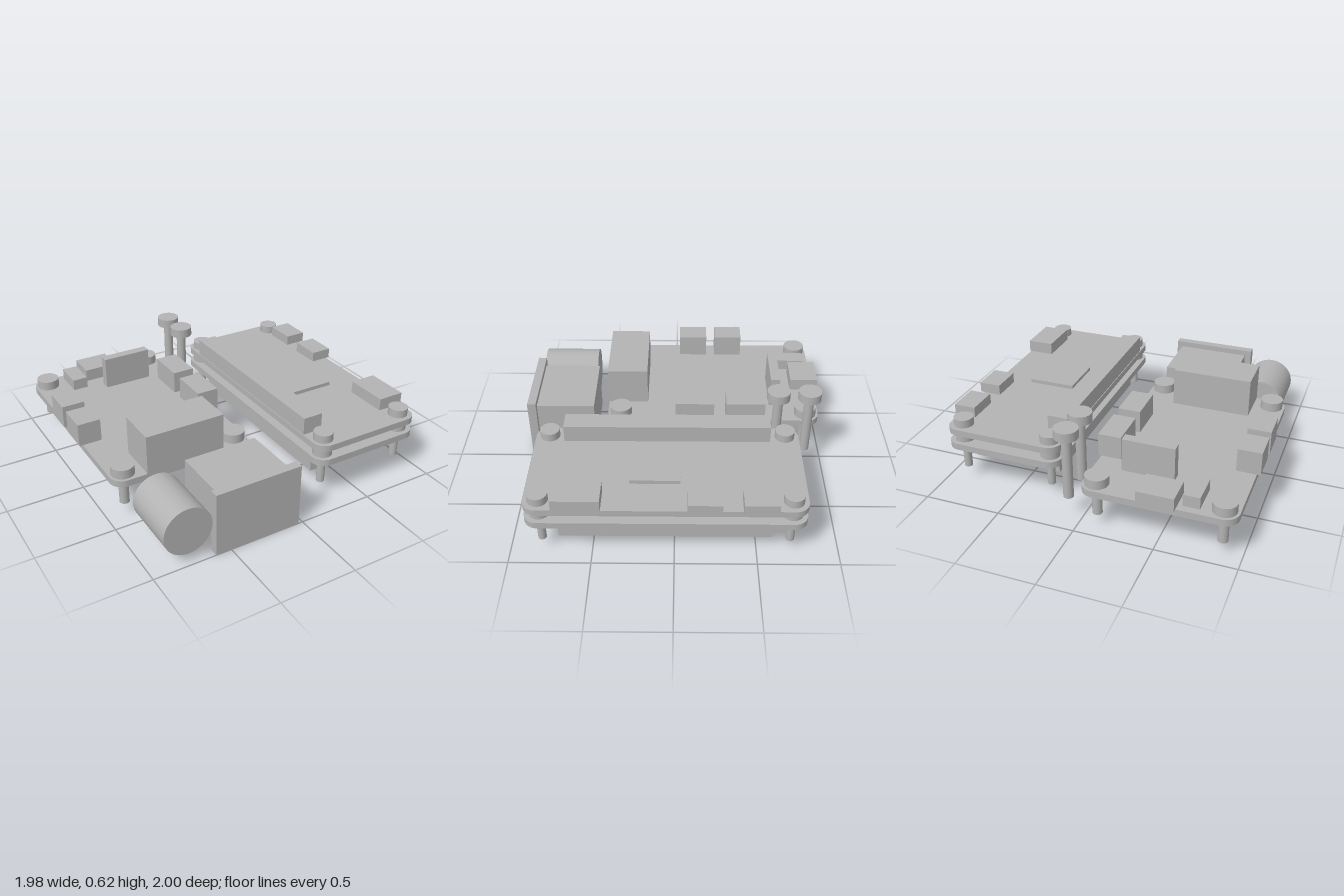
import * as THREE from 'three';

export function createModel() {
  const model = new THREE.Group();
  const grey = new THREE.MeshStandardMaterial({ color: 0xb3b3b3 });
  grey.name = 'plain grey';

  function add(parent, name, geometry) {
    const mesh = new THREE.Mesh(geometry, grey);
    mesh.name = name;
    parent.add(mesh);
    return mesh;
  }

  // Box given by its limits on each axis
  function block(parent, name, [x0, x1], [y0, y1], [z0, z1]) {
    const mesh = add(parent, name, new THREE.BoxGeometry(x1 - x0, y1 - y0, z1 - z0));
    mesh.position.set((x0 + x1) / 2, (y0 + y1) / 2, (z0 + z1) / 2);
  }

  // Upright cylinder from y0 to y1
  function post(parent, name, r, x, z, y0, y1) {
    const mesh = add(parent, name, new THREE.CylinderGeometry(r, r, y1 - y0, 40));
    mesh.position.set(x, (y0 + y1) / 2, z);
  }

  // Flat board with rounded corners
  function board(parent, name, [x0, x1], [y0, y1], [z0, z1], r) {
    const s = new THREE.Shape();
    s.absarc(x1 - r, -z0 - r, r, 0, Math.PI / 2);
    s.absarc(x0 + r, -z0 - r, r, Math.PI / 2, Math.PI);
    s.absarc(x0 + r, -z1 + r, r, Math.PI, Math.PI * 1.5);
    s.absarc(x1 - r, -z1 + r, r, Math.PI * 1.5, Math.PI * 2);
    s.closePath();
    const g = new THREE.ExtrudeGeometry(s, { depth: y1 - y0, bevelEnabled: false, curveSegments: 10 });
    g.rotateX(-Math.PI / 2);
    add(parent, name, g).position.y = y0;
  }

  function group(name) {
    const g = new THREE.Group();
    g.name = name;
    model.add(g);
    return g;
  }

  // Double board stack
  const stack = group('boardStack');
  for (const [name, y] of [['lowerBoard', [0.252, 0.295]], ['upperBoard', [0.355, 0.397]]]) {
    board(stack, name, [0.19, 0.96], y, [-0.79, 0.89], 0.085);
  }
  for (const x of [0.273, 0.868]) {
    for (const z of [-0.7, 0.8]) {
      post(stack, 'stackScrewHead', 0.062, x, z, 0.397, 0.45);
      post(stack, 'stackSpacer', 0.062, x, z, 0.295, 0.355);
      post(stack, 'stackPin', 0.026, x, z, 0.09, 0.252);
    }
  }
  block(stack, 'batteryBlock', [0.27, 0.87], [0.1, 0.252], [-0.59, 0.7]);
  block(stack, 'pinHeader', [0.195, 0.328], [0.397, 0.51], [-0.603, 0.705]);
  block(stack, 'processorChip', [0.417, 0.727], [0.397, 0.422], [-0.037, 0.27]);
  block(stack, 'largePort', [0.793, 0.97], [0.397, 0.478], [0.427, 0.712]);
  for (const z of [[-0.607, -0.402], [-0.28, -0.078]]) {
    block(stack, 'smallPort', [0.843, 0.985], [0.397, 0.465], z);
  }

  // Single wide board with its components
  const main = group('mainBoardAssembly');
  board(main, 'mainBoard', [-0.967, -0.025], [0.252, 0.295], [-0.975, 0.465], 0.085);
  for (const x of [-0.878, -0.112]) {
    for (const z of [-0.885, 0.375]) {
      post(main, 'mainScrewHead', 0.073, x, z, 0.295, 0.355);
      post(main, 'mainPin', 0.031, x, z, 0.087, 0.252);
    }
  }
  for (const z of [[-0.478, -0.285], [-0.222, -0.025]]) {
    block(main, 'outerConnector', [-0.99, -0.84], [0.295, 0.445], z);
  }
  for (const z of [[-0.6, -0.34], [-0.258, 0]]) {
    block(main, 'innerConnector', [-0.153, -0.005], [0.295, 0.445], z);
  }
  block(main, 'uprightModule', [-0.53, -0.2], [0.295, 0.51], [-0.71, -0.647]);
  block(main, 'tallConnector', [-0.757, -0.235], [0.295, 0.548], [0.195, 0.465]);
  block(main, 'rearPort', [-0.617, -0.39], [0.295, 0.378], [-1, -0.81]);
  block(main, 'rearComponent', [-0.747, -0.645], [0.295, 0.37], [-0.928, -0.727]);

  // Small board hung below the wide one
  const sub = group('underBoardAssembly');
  board(sub, 'underBoard', [-0.48, -0.03], [0.13, 0.165], [-0.3, 0.25], 0.06);
  for (const z of [-0.225, 0.177]) post(sub, 'underPin', 0.027, -0.25, z, 0.01, 0.252);

  // Loose screws
  const screws = group('looseScrews');
  for (const z of [-0.87, -0.668]) {
    post(screws, 'looseScrewHead', 0.075, 0.08, z, 0.56, 0.62);
    post(screws, 'looseScrewShaft', 0.032, 0.08, z, 0.147, 0.56);
  }

  // Flanged box and cylinder in front
  const housing = group('flangedHousing');
  block(housing, 'housingBody', [-0.555, -0.068], [0.042, 0.377], [0.555, 0.943]);
  block(housing, 'housingFlange', [-0.6, -0.03], [0, 0.415], [0.943, 1]);
  const drum = add(model, 'drum', new THREE.CylinderGeometry(0.154, 0.154, 0.387, 64));
  drum.rotation.x = Math.PI / 2;
  drum.position.set(-0.757, 0.21, 0.772);

  return model;
}
